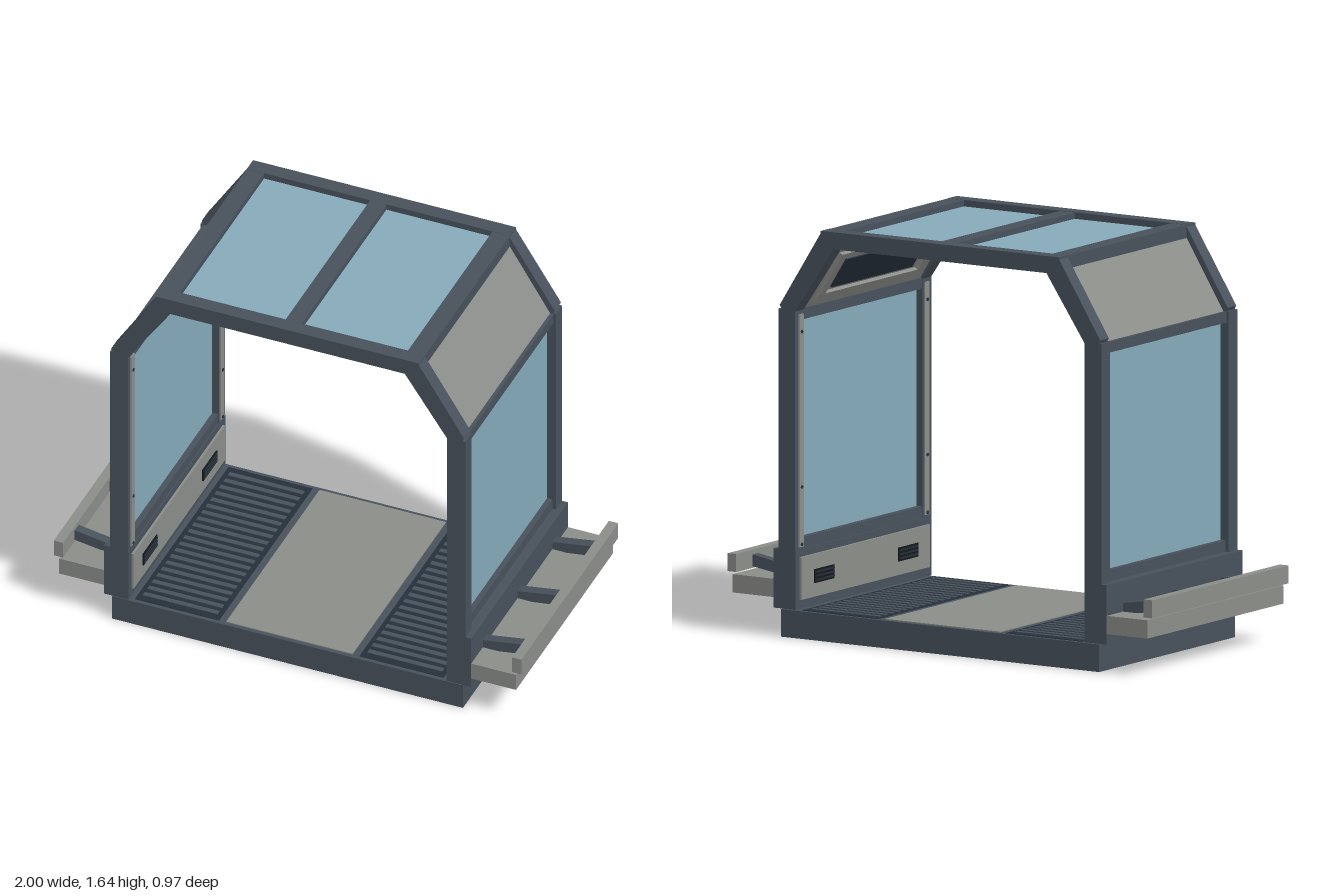
import * as THREE from 'three';

const mat = (name, color) => {
  const m = new THREE.MeshStandardMaterial({ color });
  m.name = name;
  return m;
};

export function createModel() {
  const slate = mat('slate frame', 0x48525c);
  const grey = mat('grey panel', 0x8c8e8a);
  const glass = mat('blue glass', 0x86abbb);
  const navy = mat('dark navy', 0x25303b);
  const black = mat('vent black', 0x16191d);

  const model = new THREE.Group();
  model.name = 'corridorModule';

  // Box given by its limits on each axis
  const box = (parent, name, material, x0, x1, y0, y1, z0, z1) => {
    const mesh = new THREE.Mesh(new THREE.BoxGeometry(x1 - x0, y1 - y0, z1 - z0), material);
    mesh.position.set((x0 + x1) / 2, (y0 + y1) / 2, (z0 + z1) / 2);
    mesh.name = name;
    parent.add(mesh);
    return mesh;
  };

  // Outline in x and y, extruded from z0 to z1
  const prism = (parent, name, material, points, z0, z1) => {
    const shape = new THREE.Shape(points.map(([x, y]) => new THREE.Vector2(x, y)));
    const geo = new THREE.ExtrudeGeometry(shape, { depth: z1 - z0, bevelEnabled: false });
    const mesh = new THREE.Mesh(geo, material);
    mesh.position.z = z0;
    mesh.name = name;
    parent.add(mesh);
    return mesh;
  };

  const Z = 0.487, ZI = 0.425; // outer ends and inner faces of the two arches

  // Floor slab with a walkway plate
  box(model, 'floor', slate, -0.75, 0.75, 0, 0.11, -Z, Z);
  box(model, 'walkway', grey, -0.27, 0.27, 0.109, 0.114, -0.47, 0.47);

  // Roof: cross beams, long beams and two panes
  for (const s of [-1, 1]) {
    const zc = s * (Z + ZI) / 2, h = (Z - ZI) / 2;
    box(model, 'roofCrossBeam', slate, -0.562, 0.562, 1.57, 1.638, zc - h, zc + h);
    box(model, 'roofEdgeBeam', slate, s * 0.525 - 0.037, s * 0.525 + 0.037, 1.572, 1.637, -ZI, ZI);
    box(model, 'roofPane', glass, s * 0.26 - 0.228, s * 0.26 + 0.228, 1.6, 1.612, -ZI, ZI);
  }
  box(model, 'roofCentreBeam', slate, -0.035, 0.035, 1.572, 1.637, -ZI, ZI);

  // One side wall, built on +x
  const createSide = () => {
    const side = new THREE.Group();
    side.name = 'sideWall';

    // Floor grating
    box(side, 'gratingBed', navy, 0.3, 0.66, 0.109, 0.112, -0.47, 0.47);
    for (let i = 0; i < 20; i++) {
      const z = -0.4275 + i * 0.045;
      box(side, 'gratingSlat', slate, 0.32, 0.64, 0.111, 0.115, z - 0.011, z + 0.011);
    }

    // Sill and window frame
    box(side, 'sill', slate, 0.68, 0.785, 0.113, 0.35, -Z, Z);
    box(side, 'windowBottomRail', slate, 0.685, 0.745, 0.35, 0.395, -ZI, ZI);
    box(side, 'windowTopRail', slate, 0.685, 0.75, 1.265, 1.308, -ZI, ZI);
    box(side, 'windowPane', glass, 0.71, 0.722, 0.39, 1.27, -ZI, ZI);

    // Upright and sloping posts of both arches
    for (const s of [-1, 1]) {
      const z0 = s > 0 ? ZI : -Z, z1 = s > 0 ? Z : -ZI;
      box(side, 'post', slate, 0.682, 0.76, 0.35, 1.31, z0, z1);
      prism(side, 'slopingPost', slate,
        [[0.682, 1.305], [0.745, 1.305], [0.755, 1.325], [0.56, 1.632], [0.5, 1.572]], z0, z1);
      // Inner trim strip with bolts
      box(side, 'trimStrip', grey, 0.676, 0.683, 0.36, 1.29, s * 0.45 - 0.016, s * 0.45 + 0.016);
      for (const y of [0.37, 0.6, 1.22]) {
        const bolt = new THREE.Mesh(new THREE.CylinderGeometry(0.007, 0.007, 0.005, 8), navy);
        bolt.rotation.z = Math.PI / 2;
        bolt.position.set(0.675, y, s * 0.45);
        bolt.name = 'bolt';
        side.add(bolt);
      }
    }

    // Sloping panel between the arches
    prism(side, 'slopingPanel', grey,
      [[0.695, 1.305], [0.735, 1.308], [0.563, 1.585], [0.525, 1.575]], -ZI, ZI);

    // Dark screen in a raised frame on the inner slope
    const screen = new THREE.Group();
    screen.name = 'innerScreen';
    screen.position.set(0.61, 1.44, 0);
    screen.rotation.z = Math.atan2(0.17, 0.27);
    for (const s of [-1, 1]) {
      box(screen, 'screenFrameRail', grey, -0.016, 0.006, s * 0.1 - 0.014, s * 0.1 + 0.014, -0.37, 0.37);
      box(screen, 'screenFrameEnd', grey, -0.016, 0.006, -0.086, 0.086, s * 0.35 - 0.02, s * 0.35 + 0.02);
    }
    box(screen, 'screenPlate', navy, -0.008, 0.001, -0.07, 0.07, -0.29, 0.29);
    side.add(screen);

    // Lower inner panel with two vents
    box(side, 'innerPanel', grey, 0.67, 0.682, 0.15, 0.32, -0.46, 0.46);
    for (const z of [-0.3, 0.3]) {
      box(side, 'vent', black, 0.665, 0.671, 0.205, 0.26, z - 0.07, z + 0.07);
      for (let i = 0; i < 3; i++) {
        const y = 0.217 + i * 0.016;
        box(side, 'ventSlat', navy, 0.661, 0.666, y - 0.003, y + 0.003, z - 0.065, z + 0.065);
      }
    }

    // Outer ledge, slanted brackets and bumper rail
    box(side, 'ledge', grey, 0.785, 0.977, 0.155, 0.228, -Z, Z);
    box(side, 'bumperRail', grey, 0.96, 1, 0.238, 0.31, -Z, Z);
    for (const z of [-0.35, 0, 0.35]) {
      prism(side, 'bracket', slate,
        [[0.78, 0.226], [0.85, 0.228], [0.962, 0.245], [0.962, 0.292], [0.78, 0.262]], z - 0.02, z + 0.02);
    }
    return side;
  };

  const left = createSide();
  const right = createSide();
  right.rotation.y = Math.PI;
  model.add(left, right);
  return model;
}
